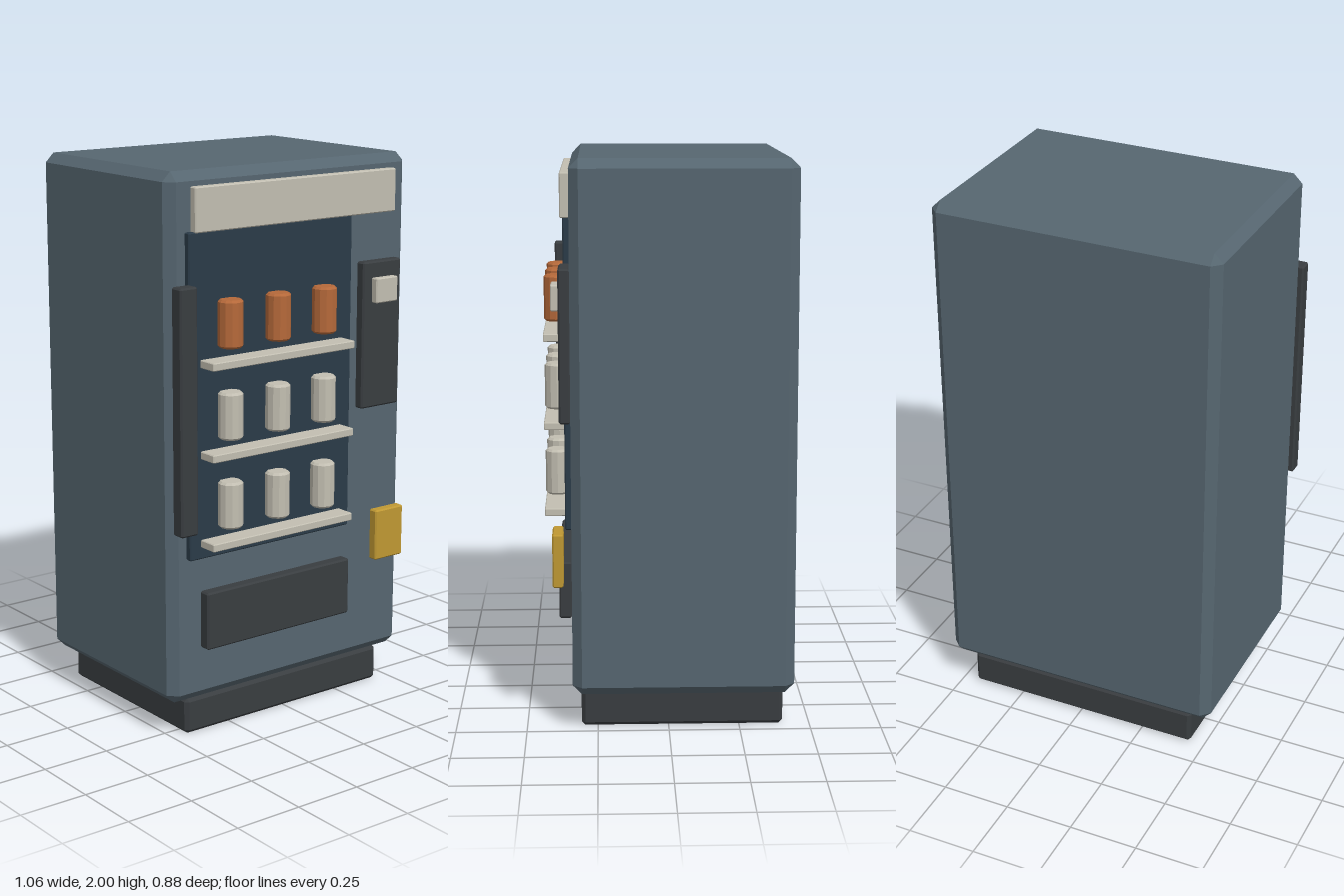
import * as THREE from 'three';
import { ConvexGeometry } from 'three/addons/geometries/ConvexGeometry.js';

const paint = (color) => new THREE.MeshStandardMaterial({ color, flatShading: true });

// Box between min and max corners with every edge chamfered by b
function chamferBox(min, max, b) {
  const c = min.map((v, i) => (v + max[i]) / 2);
  const h = min.map((v, i) => (max[i] - v) / 2);
  const points = [];
  for (const sx of [-1, 1]) for (const sy of [-1, 1]) for (const sz of [-1, 1]) {
    const s = [sx, sy, sz];
    // each corner becomes three points, one on each face
    for (let face = 0; face < 3; face++) {
      points.push(new THREE.Vector3(...s.map((v, i) => c[i] + v * (h[i] - (i === face ? 0 : b)))));
    }
  }
  return new ConvexGeometry(points);
}

export function createModel() {
  const group = new THREE.Group();
  group.name = 'vendingMachine';
  const steel = paint(0x566670);
  const dark = paint(0x393d40);
  const glass = paint(0x2b3b48);
  const cream = paint(0xc2beb1);
  const orange = paint(0xb5693a);
  const yellow = paint(0xbf9833);

  const add = (name, geometry, material) => {
    const mesh = new THREE.Mesh(geometry, material);
    mesh.name = name;
    group.add(mesh);
    return mesh;
  };
  const box = (name, min, max, b, material) => add(name, chamferBox(min, max, b), material);

  // Cabinet and plinth
  box('cabinet', [-0.53, 0.135, -0.44], [0.53, 2, 0.338], 0.033, steel);
  box('plinth', [-0.447, 0, -0.405], [0.447, 0.132, 0.308], 0.013, dark);

  // Front panels
  box('headerPanel', [-0.442, 1.797, 0.338], [0.444, 1.95, 0.37], 0.004, cream);
  box('window', [-0.466, 0.664, 0.338], [0.246, 1.8, 0.364], 0.004, glass);
  box('handle', [-0.533, 0.77, 0.355], [-0.461, 1.627, 0.408], 0.006, dark);
  box('controlPanel', [0.291, 1.093, 0.338], [0.468, 1.627, 0.378], 0.006, dark);
  box('display', [0.331, 1.479, 0.372], [0.432, 1.569, 0.404], 0.004, cream);
  box('coinReturn', [0.347, 0.516, 0.367], [0.479, 0.706, 0.405], 0.005, yellow);
  box('dispenserFlap', [-0.41, 0.333, 0.342], [0.235, 0.542, 0.388], 0.006, dark);

  // Shelves with three cans each
  const r = 0.044, height = 0.166, bevel = 0.008;
  const canProfile = [
    [0, 0], [r - bevel, 0], [r, bevel], [r, height - bevel], [r - bevel, height], [0, height],
  ].map(([x, y]) => new THREE.Vector2(x, y));
  const canGeometry = new THREE.LatheGeometry(canProfile, 12);
  [0.706, 1.021, 1.339].forEach((y, row) => {
    box('shelf', [-0.42, y, 0.345], [0.203, y + 0.028, 0.437], 0.003, cream);
    for (const x of [-0.313, -0.107, 0.099]) {
      add('can', canGeometry, row === 2 ? orange : cream).position.set(x, y + 0.063, 0.391);
    }
  });

  return group;
}
